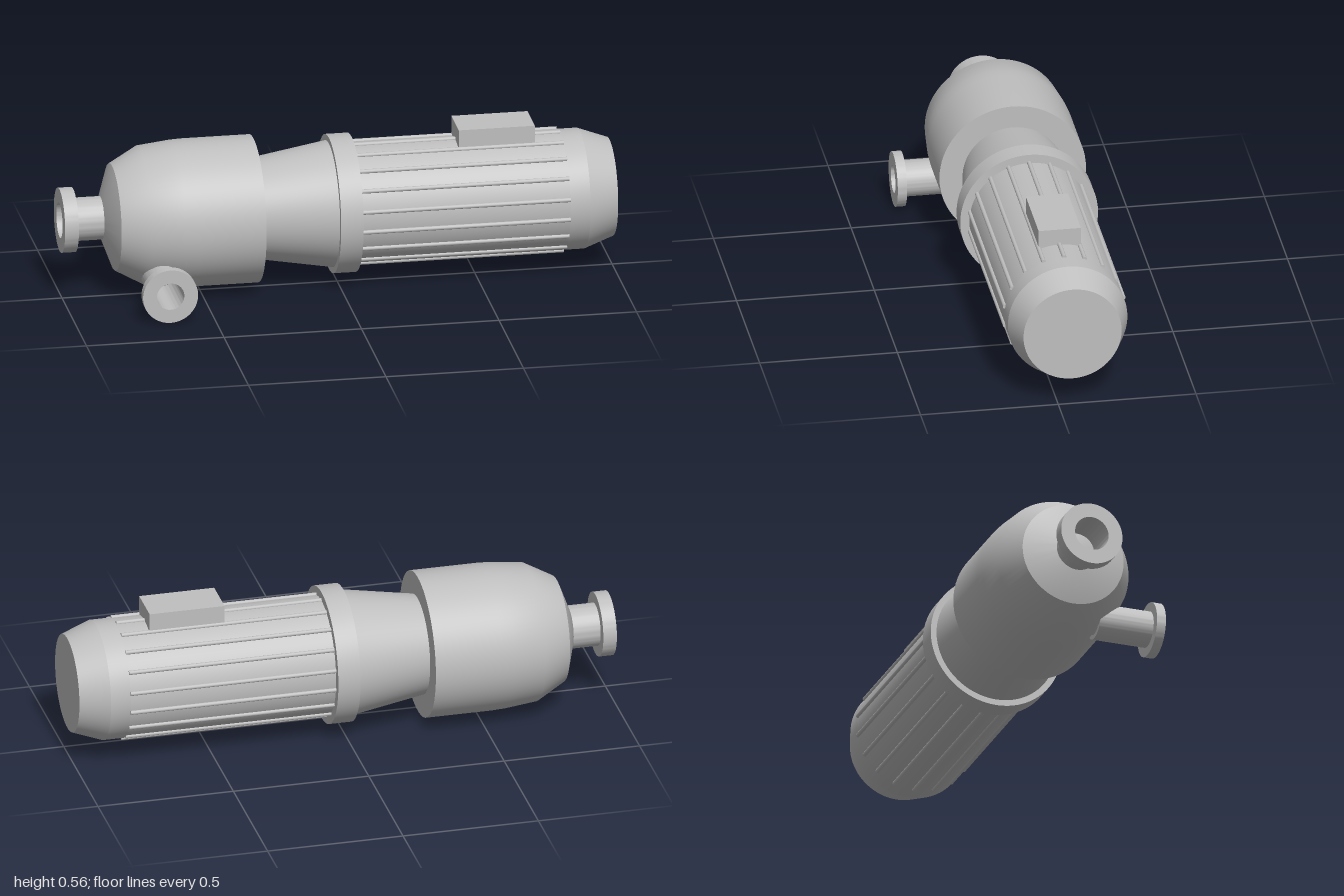
import * as THREE from 'three';
import { toCreasedNormals } from 'three/addons/utils/BufferGeometryUtils.js';

const AXIS_Y = 0.278, AXIS_Z = -0.052;

// Solid of revolution about y; points are [radius, position along the axis]
function turned(points, crease = 0.55) {
  const profile = points.map(([r, t]) => new THREE.Vector2(r, t));
  return toCreasedNormals(new THREE.LatheGeometry(profile, 72), crease);
}

export function createModel() {
  const model = new THREE.Group();
  model.name = 'motorPump';
  const grey = new THREE.MeshStandardMaterial({ color: 0xbfbfbf });
  grey.name = 'castGrey';

  const add = (parent, name, geometry) => {
    const mesh = new THREE.Mesh(geometry, grey);
    mesh.name = name;
    parent.add(mesh);
    return mesh;
  };

  // Everything turned about the main shaft, running along x
  const shaft = new THREE.Group();
  shaft.name = 'shaftLine';
  shaft.position.set(0, AXIS_Y, AXIS_Z);
  model.add(shaft);
  const addTurned = (name, points, crease) =>
    add(shaft, name, turned(points, crease).rotateZ(-Math.PI / 2));

  // Hollow flanged inlet
  addTurned('inletNozzle', [
    [0.064, -1], [0.117, -1], [0.117, -0.95], [0.078, -0.95],
    [0.078, -0.845], [0.064, -0.845], [0.064, -1],
  ]);

  // Rounded pump casing
  addTurned('pumpCasing', [
    [0, -0.85], [0.08, -0.85], [0.193, -0.808], [0.251, -0.703],
    [0.264, -0.585], [0.266, -0.54], [0.266, -0.294], [0, -0.294],
  ]);

  // Tapered adapter and motor flange
  addTurned('adapterCone', [[0.181, -0.3], [0.228, -0.02]]);
  addTurned('motorFlange', [[0, -0.02], [0.25, -0.02], [0.25, 0.062], [0, 0.062]]);

  // Motor barrel with tapered end cover
  addTurned('motorBarrel', [[0.217, 0.06], [0.217, 0.82]]);
  addTurned('motorEndCover', [
    [0.217, 0.82], [0.217, 0.893], [0.178, 1], [0, 1],
  ], 0.25);

  // Round cooling ribs around the barrel
  const ribGeometry = new THREE.CylinderGeometry(0.008, 0.008, 0.76, 14).rotateZ(-Math.PI / 2);
  const ribs = new THREE.Group();
  ribs.name = 'coolingRibs';
  shaft.add(ribs);
  for (let i = 0; i < 18; i++) {
    const a = (i / 18) * Math.PI * 2;
    add(ribs, 'coolingRib', ribGeometry)
      .position.set(0.44, 0.218 * Math.cos(a), 0.218 * Math.sin(a));
  }

  // Terminal box on top of the motor
  add(model, 'terminalBox', new THREE.BoxGeometry(0.277, 0.085, 0.153))
    .position.set(0.577, 0.5125, -0.053);

  // Hollow flanged outlet at the front
  add(model, 'outletNozzle', turned([
    [0.05, 0.083], [0.066, 0.083], [0.066, 0.286], [0.1, 0.286],
    [0.1, 0.32], [0.05, 0.32], [0.05, 0.083],
  ]).rotateX(Math.PI / 2)).position.set(-0.662, 0.1, 0);

  return model;
}
